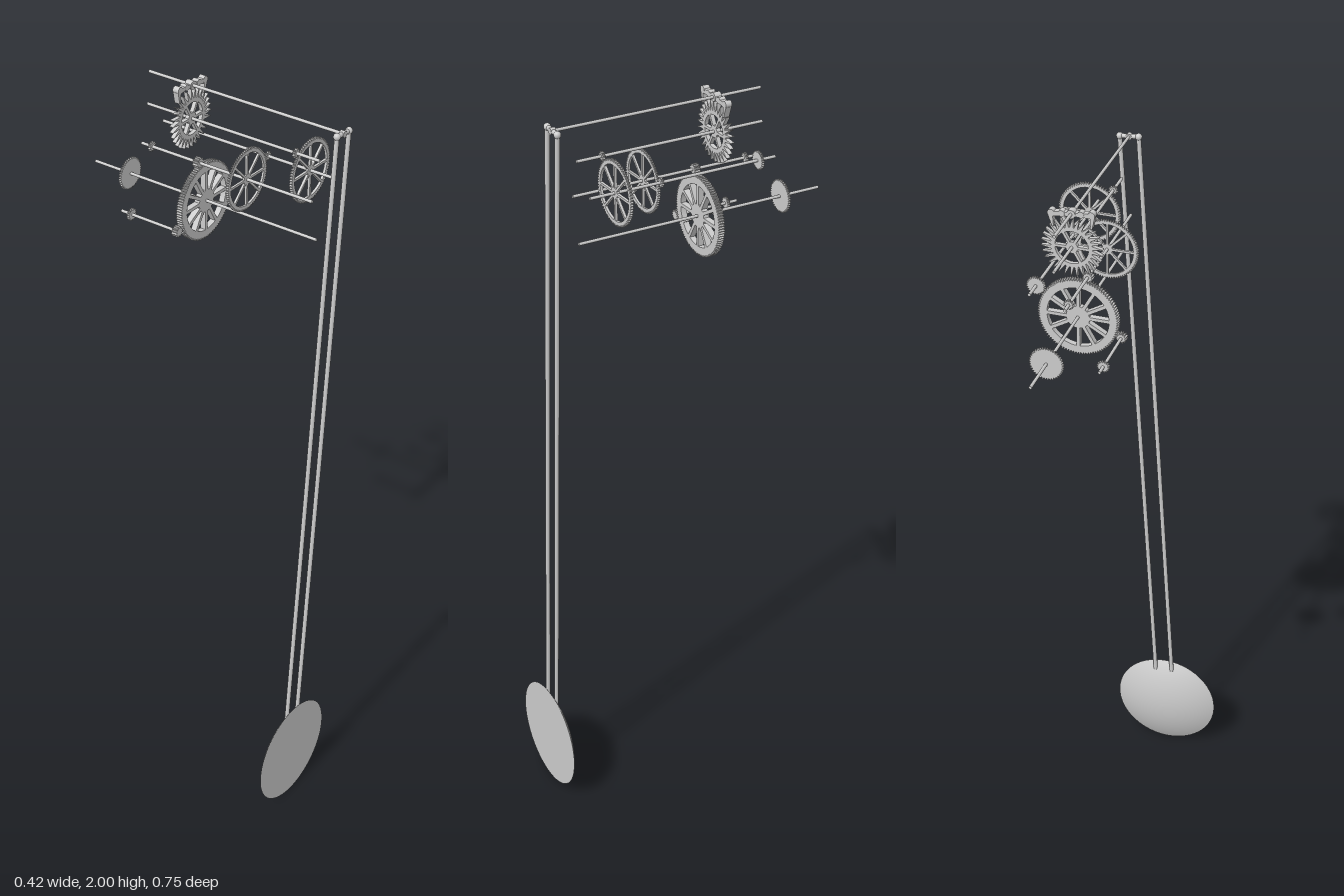
import * as THREE from 'three';

const mat = new THREE.MeshStandardMaterial({ color: 0xcccccc, side: THREE.DoubleSide });
const polar = (r, a) => new THREE.Vector2(r * Math.cos(a), r * Math.sin(a));

function add(parent, name, geo, x = 0, y = 0, z = 0) {
  const m = new THREE.Mesh(geo, mat);
  m.name = name;
  m.position.set(x, y, z);
  parent.add(m);
  return m;
}

// flat plate of the given thickness, centred on z = 0
function plate(shape, depth) {
  const g = new THREE.ExtrudeGeometry(shape, { depth, bevelEnabled: false, curveSegments: 16 });
  return g.translate(0, 0, -depth / 2);
}

// toothed outline; tip and root are the shares of the pitch, lean tilts the teeth
function toothed(n, root, outer, rootShare = 0.5, tipShare = 0.25, lean = 0) {
  const pts = [], p = Math.PI * 2 / n;
  for (let i = 0; i < n; i++) {
    const a = i * p, c = a + p / 2 + lean * p;
    pts.push(polar(root, a + p * (1 - rootShare) / 2 * 0.2), polar(outer, c - p * tipShare / 2),
      polar(outer, c + p * tipShare / 2), polar(root, a + p * (1 - rootShare * 0.3)));
  }
  return new THREE.Shape(pts);
}

// cut windows between straight spokes
function cutSpokes(shape, n, inner, outer, width) {
  for (let i = 0; i < n; i++) {
    const a0 = i * Math.PI * 2 / n, a1 = (i + 1) * Math.PI * 2 / n, pts = [];
    const di = Math.asin(width / 2 / inner), d = Math.asin(width / 2 / outer);
    for (let k = 0; k <= 6; k++) pts.push(polar(outer, THREE.MathUtils.lerp(a0 + d, a1 - d, k / 6)));
    for (let k = 0; k <= 3; k++) pts.push(polar(inner, THREE.MathUtils.lerp(a1 - di, a0 + di, k / 3)));
    shape.holes.push(new THREE.Path(pts));
  }
  return shape;
}

// round bar along z
function arbor(parent, name, x, y, z0, z1, r = 0.004) {
  const g = new THREE.CylinderGeometry(r, r, Math.abs(z1 - z0), 16).rotateX(Math.PI / 2);
  add(parent, name, g, x, y, (z0 + z1) / 2);
}

// round bar between two points of the xy plane
function bar(parent, name, a, b, r, z = 0) {
  const d = new THREE.Vector2().subVectors(b, a);
  const m = add(parent, name, new THREE.CylinderGeometry(r, r, d.length(), 16), (a.x + b.x) / 2, (a.y + b.y) / 2, z);
  m.rotation.z = Math.atan2(d.y, d.x) - Math.PI / 2;
}

export function createModel() {
  const model = new THREE.Group();
  model.name = 'pendulumClockMovement';

  // arbors
  const pivot = [0.066, 1.988], escape = [0.066, 1.9], third = [0.128, 1.83];
  const second = [0.041, 1.803], main = [0.066, 1.69], winding = [-0.044, 1.65];
  arbor(model, 'palletArbor', ...pivot, 0.372, -0.198);
  arbor(model, 'escapeArbor', ...escape, 0.306, -0.205);
  arbor(model, 'thirdArbor', ...third, 0.306, -0.205);
  arbor(model, 'secondArbor', ...second, 0.306, -0.205);
  arbor(model, 'mainArbor', ...main, 0.306, -0.378);
  arbor(model, 'windingArbor', ...winding, -0.025, -0.205);

  // spoked wheels: name, axis, z, thickness, teeth, radius, rim inside, hub, spokes, spoke width
  const wheels = [
    ['mainWheel', main, -0.031, 0.016, 96, 0.104, 0.08, 0.03, 12, 0.009],
    ['secondWheel', second, 0.115, 0.006, 80, 0.081, 0.068, 0.014, 8, 0.006],
    ['thirdWheel', third, 0.238, 0.007, 72, 0.082, 0.069, 0.014, 8, 0.006],
  ];
  for (const [name, c, z, t, n, r, rim, hub, spokes, w] of wheels) {
    const s = cutSpokes(toothed(n, r - 0.005, r), spokes, hub, rim, w);
    add(model, name, plate(s, t), ...c, z);
  }

  // solid gears and pinions: name, axis, z, thickness, teeth, radius
  const gears = [
    ['secondPinion', second, -0.031, 0.016, 12, 0.014],
    ['windingPinion', winding, -0.031, 0.016, 12, 0.014],
    ['thirdPinion', third, 0.115, 0.006, 10, 0.012],
    ['escapePinion', escape, 0.238, 0.007, 10, 0.012],
    ['mainRearGear', main, -0.266, 0.006, 40, 0.043],
    ['secondRearGear', second, -0.174, 0.007, 12, 0.013],
    ['windingRearGear', winding, -0.174, 0.007, 16, 0.016],
    ['thirdRearGear', third, -0.157, 0.007, 24, 0.024],
  ];
  for (const [name, c, z, t, n, r] of gears) {
    add(model, name, plate(toothed(n, r - 0.004, r), t), ...c, z);
  }

  // escape wheel with long pointed teeth
  const esc = cutSpokes(toothed(30, 0.052, 0.077, 0.5, 0.08, 0.2), 6, 0.015, 0.042, 0.007);
  add(model, 'escapeWheel', plate(esc, 0.011), ...escape, -0.073);

  // anchor: hub, two arms with round elbows, and pallets reaching to the teeth
  const anchor = new THREE.Group();
  anchor.name = 'anchor';
  anchor.position.set(...pivot, -0.073);
  anchor.rotation.z = -0.07;
  model.add(anchor);
  const disc = (r, t) => new THREE.CylinderGeometry(r, r, t, 20).rotateX(Math.PI / 2);
  add(anchor, 'anchorHub', disc(0.011, 0.019));
  for (const s of [-1, 1]) {
    const arm = new THREE.Shape([[0, 0.004], [0.05, 0.004], [0.058, -0.005], [0.05, -0.034],
      [0.046, -0.034], [0.046, -0.008], [0.025, -0.006], [0, -0.006]]
      .map(([x, y]) => new THREE.Vector2(s * x, y)));
    add(anchor, 'anchorArm', plate(arm, 0.016));
    add(anchor, 'anchorElbow', disc(0.009, 0.017), s * 0.05, 0);
    add(anchor, 'anchorBoss', disc(0.008, 0.017), s * 0.024, 0);
  }

  // pendulum swung four degrees about the pallet arbor
  const pendulum = new THREE.Group();
  pendulum.name = 'pendulum';
  pendulum.position.set(...pivot, 0.366);
  pendulum.rotation.z = -0.07;
  model.add(pendulum);
  const v = (x, y) => new THREE.Vector2(x, y);
  bar(pendulum, 'crossbar', v(-0.025, 0), v(0.025, 0), 0.006);
  add(pendulum, 'crossbarHub', disc(0.008, 0.013));
  for (const s of [-1, 1]) {
    add(pendulum, 'crossbarKnob', new THREE.SphereGeometry(0.009, 20, 14), s * 0.025, 0);
    bar(pendulum, 'pendulumRod', v(s * 0.025, 0), v(s * 0.025, -1.72), 0.006);
  }

  // bob: flat front, shallow domed back
  const R = 0.301, edge = Math.asin(0.15 / R), profile = [v(0, 0), v(0.15, 0)];
  for (let i = 0; i <= 12; i++) {
    const a = edge * (1 - i / 12);
    profile.push(v(R * Math.sin(a), R * (Math.cos(a) - Math.cos(edge))));
  }
  const front = new THREE.CircleGeometry(0.15, 64);
  const dome = new THREE.LatheGeometry(profile.slice(2), 64).rotateX(-Math.PI / 2);
  const bob = new THREE.Group();
  bob.name = 'bob';
  bob.position.set(0, -1.841, 0.009);
  bob.add(new THREE.Mesh(front, mat), new THREE.Mesh(dome, mat));
  bob.children[0].name = 'bobFront';
  bob.children[1].name = 'bobDome';
  pendulum.add(bob);

  return model;
}
